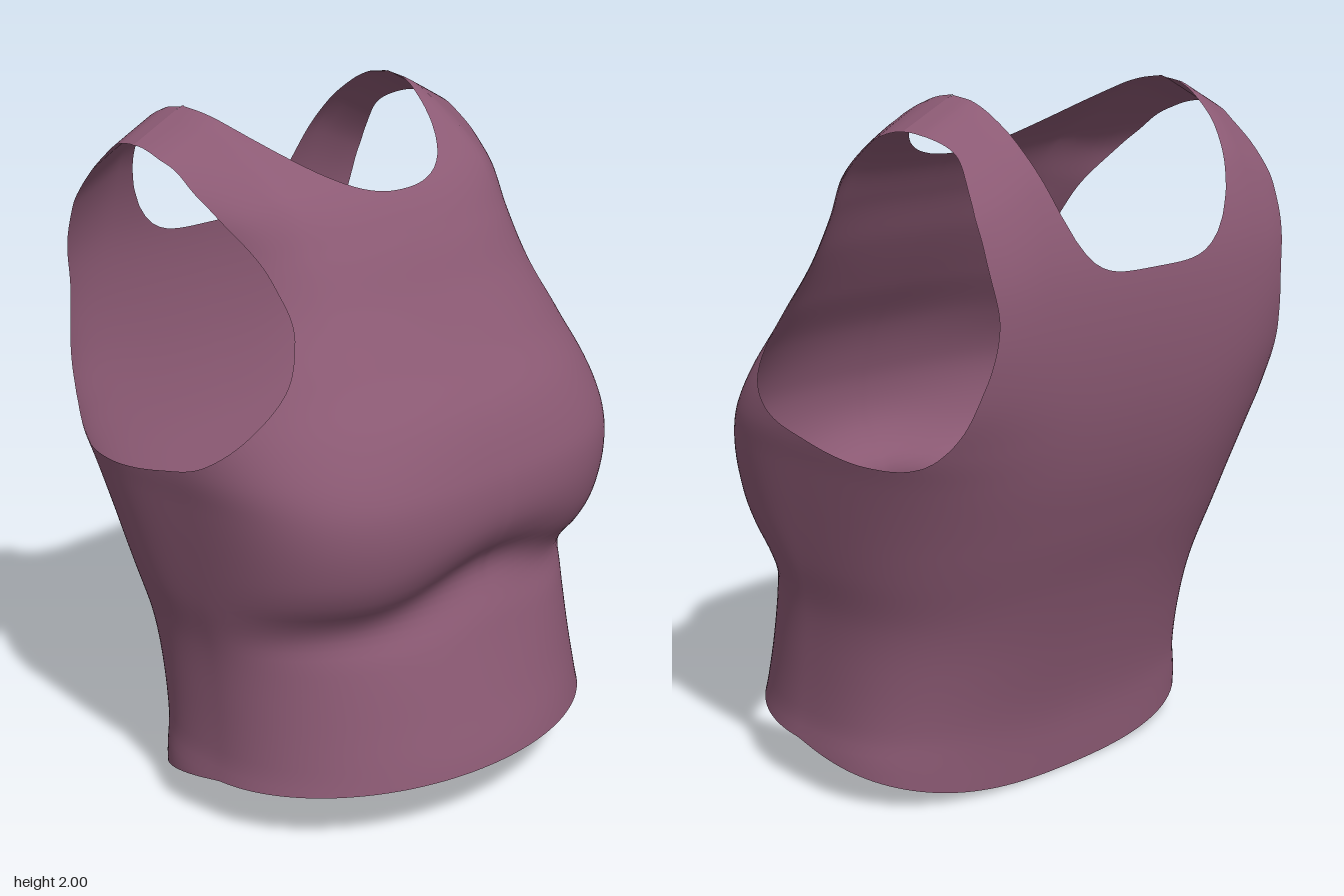
import * as THREE from 'three';
import { mergeVertices } from 'three/addons/utils/BufferGeometryUtils.js';

// Smooth interpolation through [height, value] pairs
function track(p) {
  const slope = (i) => {
    const a = p[Math.max(i - 1, 0)], b = p[Math.min(i + 1, p.length - 1)];
    return (b[1] - a[1]) / (b[0] - a[0]);
  };
  return (t) => {
    if (t <= p[0][0]) return p[0][1];
    if (t >= p[p.length - 1][0]) return p[p.length - 1][1];
    let i = 0;
    while (t > p[i + 1][0]) i++;
    const d = p[i + 1][0] - p[i][0], s = (t - p[i][0]) / d, r = 1 - s;
    return p[i][1] * r * r * (1 + 2 * s) + p[i + 1][1] * s * s * (3 - 2 * s)
      + d * s * r * (slope(i) * r - slope(i + 1) * s);
  };
}

// Torso profiles by height: front depth, back depth, widest line
const front = track([[-0.1, 0.67], [0.18, 0.64], [0.35, 0.595], [0.55, 0.535], [0.66, 0.49], [0.72, 0.5],
  [0.78, 0.54], [0.86, 0.575], [0.95, 0.588], [1.05, 0.577], [1.2, 0.522], [1.35, 0.425], [1.5, 0.335],
  [1.65, 0.255], [1.78, 0.16], [1.88, 0.02], [1.97, -0.15], [1.99, -0.215], [2, -0.28]]);
const back = track([[-0.1, -0.335], [0.02, -0.34], [0.2, -0.355], [0.4, -0.4], [0.6, -0.46], [0.8, -0.53],
  [1, -0.59], [1.2, -0.627], [1.42, -0.64], [1.6, -0.625], [1.77, -0.572], [1.88, -0.5], [1.95, -0.42],
  [1.99, -0.345], [2, -0.28]]);
const middle = track([[0, 0.12], [0.7, 0.05], [1.1, 0], [1.33, -0.1], [1.6, -0.22], [1.8, -0.27], [2, -0.28]]);
// Half widths: shared up to the armholes, then narrower in front than behind
const sides = [[0, 0.69], [0.13, 0.682], [0.22, 0.665], [0.4, 0.658], [0.55, 0.664], [0.7, 0.69], [0.85, 0.71],
  [1, 0.727], [1.1, 0.737]];
const frontWidth = track([...sides, [1.2, 0.725], [1.33, 0.675], [1.5, 0.617], [1.68, 0.59], [1.83, 0.625], [2, 0.72]]);
const backWidth = track([...sides, [1.2, 0.725], [1.33, 0.69], [1.5, 0.667], [1.7, 0.68], [1.85, 0.72], [2, 0.74]]);
// Squareness of the front and back of each cross-section
const frontSquare = track([[0, 2], [0.6, 2.1], [0.72, 2.4], [0.85, 2.9], [1, 3.05], [1.2, 2.7], [1.4, 2.9],
  [1.7, 3.2], [2, 4]]);
const backSquare = track([[0, 3.2], [0.6, 3], [1.1, 4], [1.45, 7], [2, 7]]);

// Point on the uncut torso at angle a (0 = front, towards +x) and height h
function torso(a, h) {
  const s = Math.sin(a), c = Math.cos(a), m = middle(h);
  const w = c > 0 ? frontWidth(h) : backWidth(h);
  // The crease under the bust arches up in the middle
  const arch = 0.045 * Math.cos(Math.PI * Math.min(1, Math.abs(w * s) / 0.45))
    * Math.exp(-(((h - 0.72) / 0.17) ** 2));
  const hs = h - arch;
  const n = c > 0 ? frontSquare(hs) : backSquare(h);
  const r = (Math.abs(s) ** n + Math.abs(c) ** n) ** (-1 / n);
  const x = w * s * r;
  const z = m + c * r * (c > 0 ? front(hs) - m : m - back(h));
  // Shoulders slope down outwards
  const drop = 0.48 * Math.max(0, Math.abs(x) - 0.41) * THREE.MathUtils.smoothstep(h, 1.3, 1.95);
  return [x, h - drop, z];
}

// Armhole outline seen from the side, as [z, y], kept as radius by angle
const holeZ = -0.17, holeY = 1.48;
const rim = [[0.28, 1.33], [0.24, 1.22], [0.14, 1.135], [-0.02, 1.085], [-0.15, 1.06], [-0.285, 1.05],
  [-0.44, 1.07], [-0.52, 1.14], [-0.59, 1.29], [-0.615, 1.45], [-0.59, 1.61], [-0.52, 1.77], [-0.42, 1.88],
  [-0.285, 1.915], [-0.15, 1.878], [-0.04, 1.8], [0.07, 1.697], [0.17, 1.577], [0.25, 1.445]]
  .map(([z, y]) => [Math.atan2(y - holeY, z - holeZ), Math.hypot(z - holeZ, y - holeY)])
  .sort((p, q) => p[0] - q[0]);
const shifted = (list, d) => list.map(([t, r]) => [t + d, r]);
const rimRadius = track([...shifted(rim.slice(-3), -2 * Math.PI), ...rim, ...shifted(rim.slice(0, 3), 2 * Math.PI)]);

// Cuts: cloth is kept where each value is positive
const cuts = [
  // hem, lowest at the middle of the back
  ([x, y, z]) => {
    const rear = Math.max(0, 0.1 - z);
    return y - 0.155 - 0.055 * Math.max(0, z - 0.1) + rear * (0.345 - 0.3 * x * x);
  },
  // neckline, deeper and squarer at the back
  ([x, y, z]) => {
    const t = Math.abs(x) / 0.41;
    return (z > -0.28 ? 1.77 + 0.23 * t ** 2.3 : 1.54 + 0.46 * t ** 4.5) - y;
  },
  // armholes
  ([x, y, z]) => Math.max(0.4 - Math.abs(x),
    Math.hypot(z - holeZ, y - holeY) - rimRadius(Math.atan2(y - holeY, z - holeZ))),
];

function clip(poly, keep) {
  const out = [];
  poly.forEach((p, i) => {
    const q = poly[(i + 1) % poly.length], fp = keep(p), fq = keep(q);
    if (fp >= 0) out.push(p);
    if ((fp >= 0) !== (fq >= 0)) {
      const t = fp / (fp - fq);
      out.push(p.map((v, k) => v + (q[k] - v) * t));
    }
  });
  return out;
}

function topGeometry() {
  const cols = 168, rows = 120, grid = [], pos = [];
  for (let j = 0; j <= rows; j++) {
    // rows gather towards the shoulder ridge
    const v = j / rows, h = 2 - 2.05 * (1 - v) ** 1.6;
    grid.push(Array.from({ length: cols + 1 }, (_, i) => torso(((i % cols) / cols) * Math.PI * 2, h)));
  }
  const add = (tri) => {
    const poly = cuts.reduce((p, cut) => (p.length ? clip(p, cut) : p), tri);
    for (let k = 1; k + 1 < poly.length; k++) pos.push(...poly[0], ...poly[k], ...poly[k + 1]);
  };
  for (let j = 0; j < rows; j++) {
    for (let i = 0; i < cols; i++) {
      const a = grid[j][i], b = grid[j][i + 1], c = grid[j + 1][i + 1], d = grid[j + 1][i];
      // diagonals mirror across the middle
      if (i < cols / 2) { add([a, b, c]); add([a, c, d]); } else { add([a, b, d]); add([b, c, d]); }
    }
  }
  let geo = new THREE.BufferGeometry();
  geo.setAttribute('position', new THREE.Float32BufferAttribute(pos, 3));
  geo = mergeVertices(geo, 1e-4);
  geo.computeVertexNormals();
  return geo;
}

export function createModel() {
  const group = new THREE.Group();
  group.name = 'croppedTankTop';
  const cloth = new THREE.MeshStandardMaterial({ color: 0x8c5a74, side: THREE.DoubleSide });
  cloth.name = 'mauve cloth';
  const mesh = new THREE.Mesh(topGeometry(), cloth);
  mesh.name = 'bodice';
  group.add(mesh);
  return group;
}
